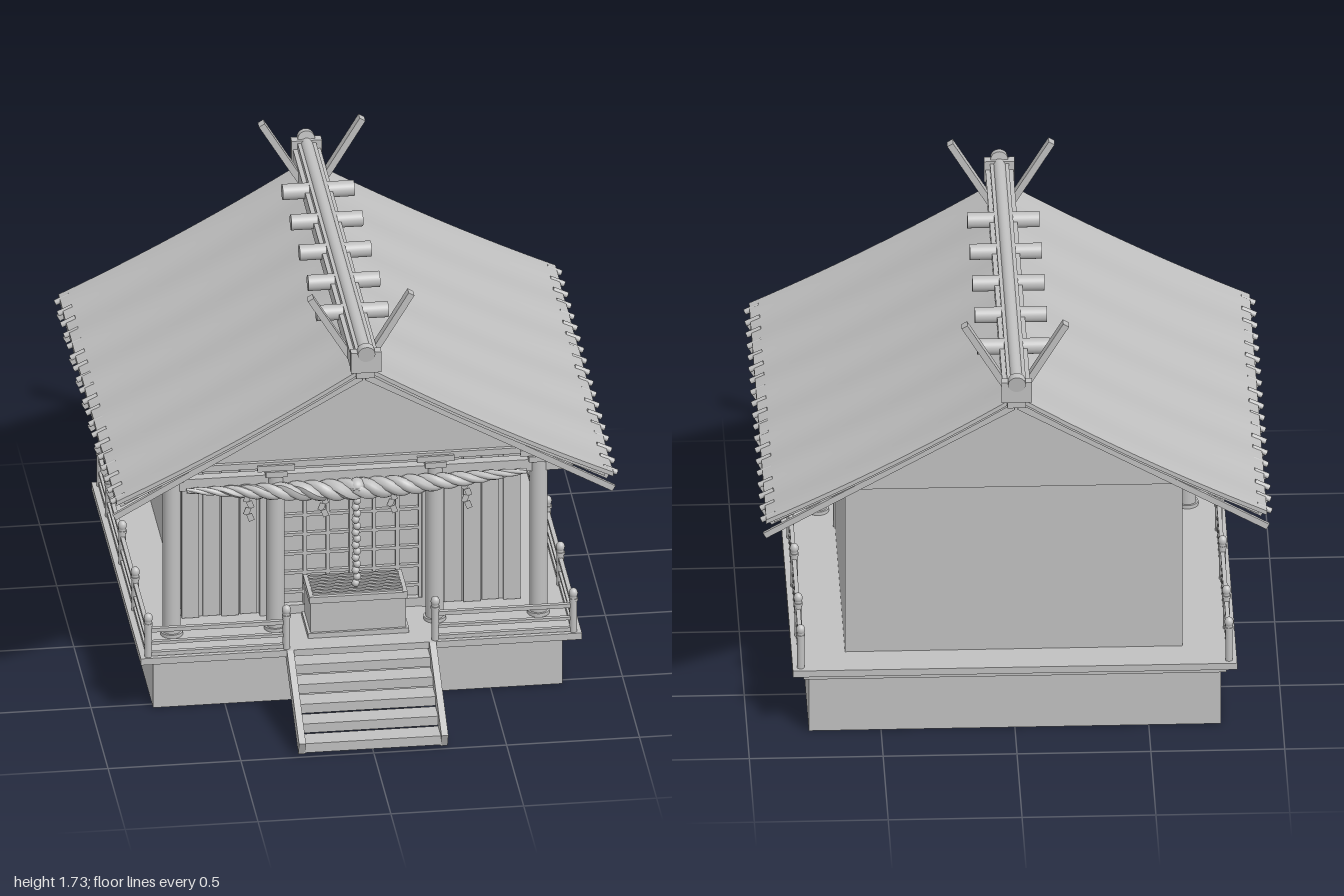
import * as THREE from 'three';

const stone = new THREE.MeshStandardMaterial({ color: 0xc0c0c0 });
stone.name = 'plain grey';
const V = (x, y, z) => new THREE.Vector3(x, y, z);

export function createModel() {
  const model = new THREE.Group();
  model.name = 'shrine';

  const group = (name) => {
    const g = new THREE.Group();
    g.name = name;
    model.add(g);
    return g;
  };
  const put = (parent, name, geo, x = 0, y = 0, z = 0) => {
    const m = new THREE.Mesh(geo, stone);
    m.name = name;
    m.position.set(x, y, z);
    parent.add(m);
    return m;
  };
  // box given by its limits
  const box = (parent, name, x0, x1, y0, y1, z0, z1) =>
    put(parent, name, new THREE.BoxGeometry(x1 - x0, y1 - y0, z1 - z0), (x0 + x1) / 2, (y0 + y1) / 2, (z0 + z1) / 2);
  // square bar between two points
  const bar = (parent, name, a, b, w, h) => {
    const c = a.clone().add(b).multiplyScalar(0.5);
    const m = put(parent, name, new THREE.BoxGeometry(w, h, a.distanceTo(b)), c.x, c.y, c.z);
    m.lookAt(b);
    return m;
  };
  // round bar along x, y or z
  const rod = (parent, name, r, len, axis, x, y, z, sides = 20) => {
    const g = new THREE.CylinderGeometry(r, r, len, sides);
    if (axis === 'x') g.rotateZ(Math.PI / 2);
    if (axis === 'z') g.rotateX(Math.PI / 2);
    return put(parent, name, g, x, y, z);
  };
  // side profile [z, y] extruded across x
  const acrossX = (pts, x0, x1) => {
    const s = new THREE.Shape(pts.map(([z, y]) => new THREE.Vector2(-z, y)));
    return new THREE.ExtrudeGeometry(s, { depth: x1 - x0, bevelEnabled: false }).rotateY(Math.PI / 2).translate(x0, 0, 0);
  };

  // base and veranda floor
  const base = group('base');
  box(base, 'foundation', -0.77, 0.77, 0, 0.22, -0.79, 0.53);
  box(base, 'floorFrame', -0.79, 0.79, 0.22, 0.24, -0.795, 0.6);
  box(base, 'verandaFloor', -0.83, 0.83, 0.238, 0.265, -0.81, 0.64);

  // hall with boarded front
  const hall = group('hall');
  box(hall, 'walls', -0.63, 0.63, 0.265, 0.955, -0.665, 0.32);
  for (const s of [-1, 1]) {
    [0.605, 0.525, 0.455, 0.385].forEach((x, i) =>
      box(hall, 'wallBoard', s * x - 0.032, s * x + 0.032, 0.268, 0.95, 0.31, i % 2 ? 0.329 : 0.338));
    box(hall, 'doorPost', s * 0.305 - 0.04, s * 0.305 + 0.04, 0.265, 0.955, 0.31, 0.35);
  }
  box(hall, 'doorHead', -0.27, 0.27, 0.83, 0.955, 0.31, 0.345);
  box(hall, 'doorSill', -0.27, 0.27, 0.265, 0.3, 0.31, 0.345);

  // lattice door
  const door = group('latticeDoor');
  for (let i = -3; i <= 3; i++)
    box(door, 'latticeUpright', i * 0.087 - 0.007, i * 0.087 + 0.007, 0.29, 0.84, 0.315, 0.339);
  for (let i = 0; i < 7; i++) {
    const y = 0.35 + i * 0.08;
    box(door, 'latticeRail', -0.265, 0.265, y - 0.006, y + 0.006, 0.315, 0.335);
  }

  // gable block under the roof
  const gable = new THREE.Shape([new THREE.Vector2(-0.74, 0.955), new THREE.Vector2(0.74, 0.955), new THREE.Vector2(0, 1.4)]);
  put(group('attic'), 'gableBlock', new THREE.ExtrudeGeometry(gable, { depth: 1.125, bevelEnabled: false }), 0, 0, -0.67);

  // porch columns and beams
  const porch = group('porch');
  for (const x of [-0.69, -0.3, 0.3, 0.69]) {
    rod(porch, 'column', 0.034, 0.67, 'y', x, 0.6, 0.45, 24);
    rod(porch, 'columnFoot', 0.042, 0.014, 'y', x, 0.272, 0.45, 24);
    box(porch, 'capital', x - 0.04, x + 0.04, 0.915, 0.938, 0.41, 0.49);
    box(porch, 'bracket', x - 0.07, x + 0.07, 0.936, 0.96, 0.42, 0.48);
  }
  box(porch, 'tieBeam', -0.78, 0.78, 0.87, 0.918, 0.43, 0.47);
  rod(porch, 'beamEnds', 0.02, 1.67, 'x', 0, 0.895, 0.45);
  box(porch, 'topBeam', -0.78, 0.78, 0.945, 0.97, 0.43, 0.47);

  // gently waved roof slopes
  const roof = group('roof');
  const profile = (x) => 1.49 - 0.62 * x + 0.085 * x * x;
  const slope = (name, side, width, thick, drop, z0, z1) => {
    const g = new THREE.BoxGeometry(width, thick, z1 - z0, 14, 1, 60);
    const p = g.attributes.position;
    for (let i = 0; i < p.count; i++) {
      const x = p.getX(i) + width / 2;
      const z = p.getZ(i) + (z0 + z1) / 2;
      const wave = 0.004 * Math.sin(z * 19);
      p.setXYZ(i, side > 0 ? x : x - width, profile(side > 0 ? x : width - x) + p.getY(i) - thick / 2 - drop + wave, z);
    }
    g.computeVertexNormals();
    put(roof, name, g);
  };
  for (const s of [-1, 1]) {
    slope('roofSlope', s, 0.935, 0.018, 0, -0.955, 0.748);
    slope('underLayer', s, 0.905, 0.016, 0.018, -0.94, 0.735);
    // rafters and eave pegs
    for (let i = 0; i < 19; i++) {
      const z = -0.922 + i * 0.0908;
      const peg = rod(roof, 'eavePeg', 0.011, 0.06, 'x', s * 0.925, 0.983, z, 10);
      peg.rotation.z = -s * 0.45;
      if (i % 2 === 0) bar(roof, 'rafter', V(s * 0.01, 1.432, z), V(s * 0.94, 0.905, z), 0.013, 0.024);
    }
    for (const z of [0.7, -0.905])
      bar(roof, 'bargeBoard', V(0, 1.452, z), V(s * 0.92, 0.955, z), 0.02, 0.025);
  }

  // ridge with cross logs and finials
  const ridge = group('ridge');
  box(ridge, 'ridgeBeam', -0.035, 0.035, 1.45, 1.56, -0.97, 0.76);
  for (const s of [-1, 1]) box(ridge, 'ridgeRail', s * 0.04 - 0.012, s * 0.04 + 0.012, 1.475, 1.535, -0.97, 0.76);
  rod(ridge, 'ridgePole', 0.024, 1.75, 'z', 0, 1.55, -0.105);
  for (const [z, d] of [[0.765, 1], [-0.975, -1]]) {
    box(ridge, 'ridgeEnd', -0.057, 0.057, 1.485, 1.57, z - 0.018, z + 0.018);
    const knob = rod(ridge, 'ridgeEndDisc', 0.033, 0.03, 'z', 0, 1.567, z + d * 0.01);
    knob.rotation.x = d * 0.15;
  }
  for (let i = 0; i < 5; i++) rod(ridge, 'crossLog', 0.03, 0.27, 'x', 0, 1.53, -0.63 + i * 0.2485, 28);
  for (const z of [0.613, -0.82])
    for (const s of [-1, 1]) bar(ridge, 'forkedFinial', V(s * 0.03, 1.46, z), V(s * 0.19, 1.725, z), 0.026, 0.037).rotation.set(0, 0, 0);
  // finial bars stand upright in the gable plane
  ridge.children.filter((m) => m.name === 'forkedFinial').forEach((m) => {
    m.geometry = new THREE.BoxGeometry(0.025, 0.31, 0.037);
    m.rotation.z = -Math.sign(m.position.x) * 0.54;
  });

  // railings, open at the back and at the stairs
  const rails = group('railing');
  const post = (x, z) => {
    rod(rails, 'railPost', 0.014, 0.15, 'y', x, 0.34, z, 14);
    put(rails, 'postCap', new THREE.SphereGeometry(0.017, 14, 10), x, 0.425, z).scale.y = 1.2;
    rod(rails, 'postCollar', 0.017, 0.01, 'y', x, 0.4, z, 14);
  };
  for (const s of [-1, 1]) {
    for (const z of [0.62, 0.24, -0.14, -0.53, -0.78]) post(s * 0.8, z);
    post(s * 0.28, 0.62);
    for (const [y, h] of [[0.375, 0.016], [0.322, 0.012], [0.276, 0.016]]) {
      box(rails, 'sideRail', s * 0.8 - 0.008, s * 0.8 + 0.008, y - h / 2, y + h / 2, -0.78, 0.62);
      box(rails, 'frontRail', s * 0.54 - 0.26, s * 0.54 + 0.26, y - h / 2, y + h / 2, 0.612, 0.628);
    }
  }

  // stairs
  const stairs = group('stairs');
  const stringer = [[0.59, 0.265], [0.645, 0.265], [1.0, 0.055], [0.975, 0], [0.96, 0.012], [0.59, 0.228]];
  for (const s of [-1, 1]) put(stairs, 'stringer', acrossX(stringer, s * 0.268 - 0.013, s * 0.268 + 0.013));
  for (let i = 0; i < 5; i++) {
    const y = 0.045 + i * 0.043, z = 0.98 - i * 0.077;
    box(stairs, 'tread', -0.26, 0.26, y - 0.038, y, z - 0.08, z);
  }

  // offering box with slatted top
  const offering = group('offeringBox');
  box(offering, 'chest', -0.18, 0.18, 0.28, 0.42, 0.38, 0.545);
  box(offering, 'chestFoot', -0.19, 0.19, 0.265, 0.285, 0.37, 0.555);
  for (const s of [-1, 1]) {
    box(offering, 'rimEnd', s * 0.176 - 0.009, s * 0.176 + 0.009, 0.41, 0.438, 0.37, 0.555);
    box(offering, 'rimLong', -0.18, 0.18, 0.41, 0.436, 0.4625 + s * 0.085 - 0.008, 0.4625 + s * 0.085 + 0.008);
  }
  for (let i = 0; i < 7; i++) box(offering, 'slat', -0.17, 0.17, 0.415, 0.442, 0.387 + i * 0.0235, 0.397 + i * 0.0235);

  // twisted, tapering straw rope
  const rope = group('strawRope');
  const taper = (t) => 0.006 + 0.018 * Math.sin(Math.PI * t);
  const strands = 3, steps = 150, ring = 8;
  for (let k = 0; k < strands; k++) {
    const pts = [];
    for (let i = 0; i <= steps; i++) {
      const t = i / steps, a = t * 44 + (k * 2 * Math.PI) / strands, r = taper(t) * 0.8;
      pts.push(V(-0.64 + 1.28 * t, 0.885 - 0.033 * Math.sin(Math.PI * t) + r * Math.cos(a), 0.495 + r * Math.sin(a)));
    }
    const g = new THREE.TubeGeometry(new THREE.CatmullRomCurve3(pts), steps, 1, ring);
    const p = g.attributes.position;
    const c = V(), q = V();
    for (let i = 0; i <= steps; i++) {
      g.parameters.path.getPointAt(i / steps, c);
      for (let j = 0; j <= ring; j++) {
        const n = i * (ring + 1) + j;
        q.fromBufferAttribute(p, n).sub(c).multiplyScalar(taper((c.x + 0.64) / 1.28)).add(c);
        p.setXYZ(n, q.x, q.y, q.z);
      }
    }
    g.computeVertexNormals();
    put(rope, 'strand', g);
  }

  // folded paper streamers
  for (const x of [-0.41, -0.13, 0.13, 0.41])
    for (let i = 0; i < 4; i++) {
      const strip = put(rope, 'paperFold', new THREE.BoxGeometry(0.022, 0.03, 0.003), x + (i % 2 ? 0.008 : -0.004), 0.845 - i * 0.025, 0.51 + i * 0.003);
      strip.rotation.z = i % 2 ? 0.35 : -0.35;
    }

  // bell and its pull cord
  const bell = group('bell');
  put(bell, 'bellBody', new THREE.SphereGeometry(0.033, 20, 14), 0, 0.865, 0.5);
  const band = put(bell, 'bellBand', new THREE.TorusGeometry(0.033, 0.004, 8, 24), 0, 0.865, 0.5);
  band.rotation.x = Math.PI / 2;
  for (let i = 0; i < 15; i++) put(bell, 'cordBead', new THREE.SphereGeometry(0.015, 12, 8), 0.003 * (i % 2 ? 1 : -1), 0.825 - i * 0.0265, 0.49);

  return model;
}
